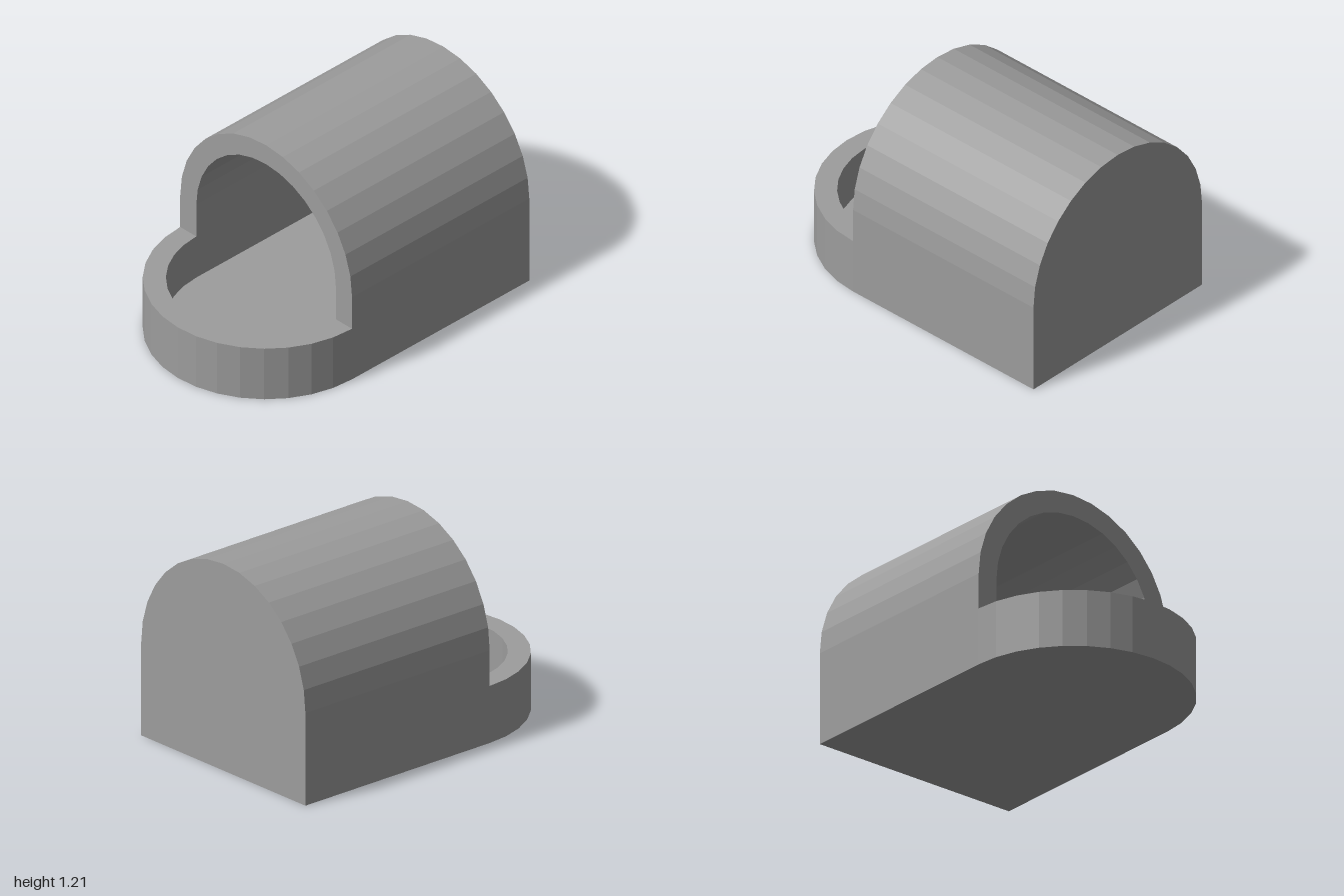
import * as THREE from 'three';

const U = 1 / 24;          // modelling unit
const R = 16 * U;          // outer radius / half width
const RI = 13 * U;         // inner radius
const SPRING = 13 * U;     // height where the arch begins
const FLOOR = 1.5 * U;     // floor thickness
const RIM = 8 * U;         // height of the porch wall
const FRONT = 8 * U;       // z of the tunnel mouth
const BACK = -1;
const INNER_BACK = BACK + 3 * U;

// Filled outline: straight sides from base, capped by a half circle
function archShape(base, centre) {
  const s = new THREE.Shape();
  s.moveTo(R, base);
  s.lineTo(R, centre);
  s.absarc(0, centre, R, 0, Math.PI, false);
  s.lineTo(-R, base);
  s.closePath();
  return s;
}

// Wall outline: the same arch, hollowed and open at the base
function archWallShape(base, centre) {
  const s = new THREE.Shape();
  s.moveTo(R, base);
  if (base < centre) s.lineTo(R, centre);
  s.absarc(0, centre, R, 0, Math.PI, false);
  if (base < centre) s.lineTo(-R, base);
  s.lineTo(-RI, base);
  if (base < centre) s.lineTo(-RI, centre);
  s.absarc(0, centre, RI, Math.PI, 0, true);
  if (base < centre) s.lineTo(RI, base);
  s.closePath();
  return s;
}

const extrude = (shape, depth) =>
  new THREE.ExtrudeGeometry(shape, { depth, bevelEnabled: false, curveSegments: 8 });

// Upright slab between two z positions
const alongZ = (shape, z0, z1) => extrude(shape, z1 - z0).translate(0, 0, z0);

// Plan shape (shape y becomes z) between two heights
const alongY = (shape, y0, y1) =>
  extrude(shape, y1 - y0).rotateX(Math.PI / 2).translate(0, y1, 0);

export function createModel() {
  const group = new THREE.Group();
  const material = new THREE.MeshStandardMaterial({ color: 0x9d9d9d, flatShading: true });
  const add = (name, geometry) => {
    const mesh = new THREE.Mesh(geometry, material);
    mesh.name = name;
    group.add(mesh);
  };

  // Floor with a rounded front
  add('floor', alongY(archShape(BACK, FRONT), 0, FLOOR));
  // Arched tunnel walls and roof
  add('vault', alongZ(archWallShape(FLOOR, SPRING), INNER_BACK, FRONT));
  // Solid wall closing the rear
  add('backWall', alongZ(archShape(FLOOR, SPRING), BACK, INNER_BACK));
  // Low curved wall around the porch
  add('porchRim', alongY(archWallShape(FRONT, FRONT), FLOOR, RIM));

  return group;
}
